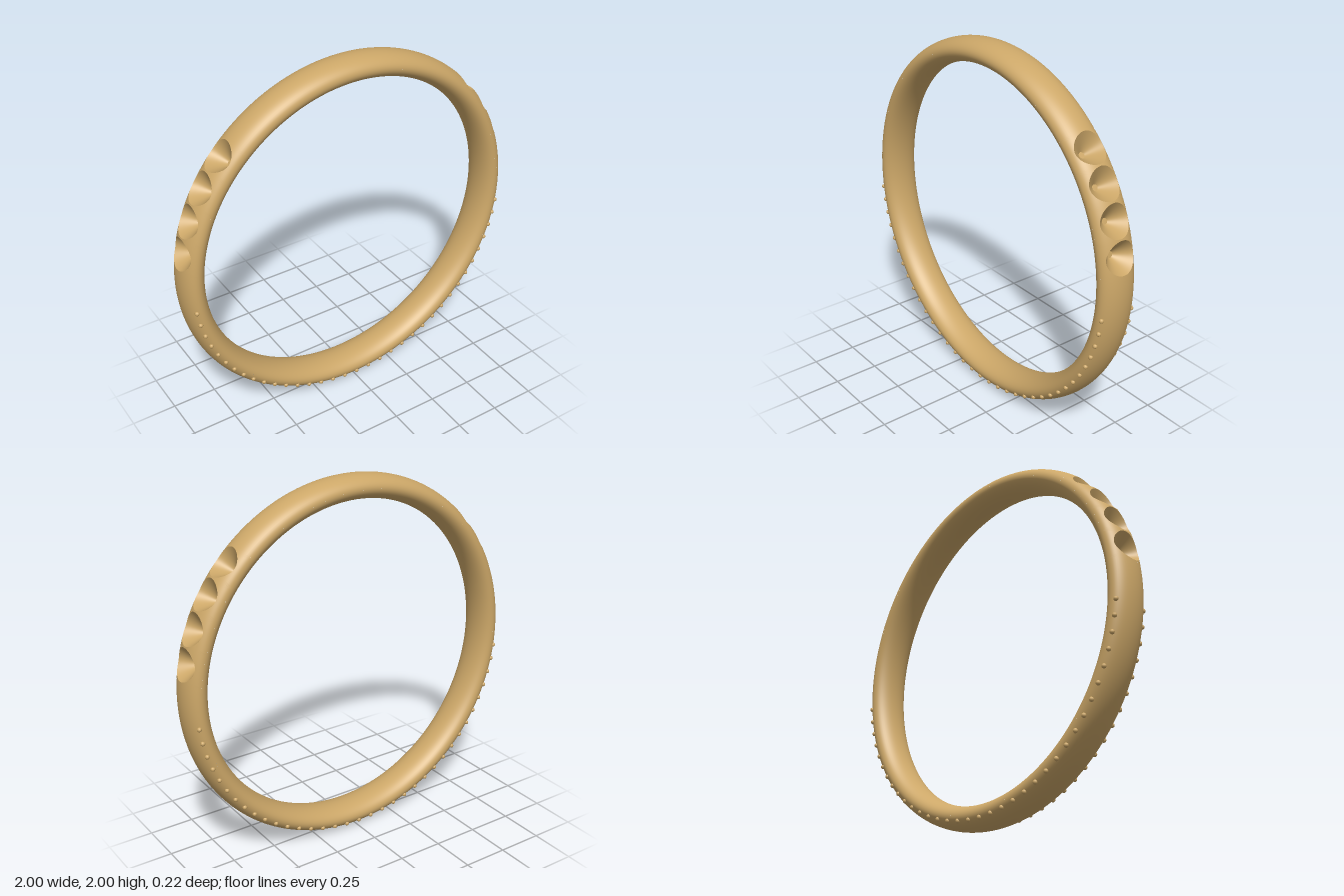
import * as THREE from 'three';
import { mergeGeometries } from 'three/addons/utils/BufferGeometryUtils.js';

const MID = 0.935, HALF_T = 0.065, HALF_W = 0.105; // elliptical band section
const SEAT_R = 0.086, TIP_R = 0.905, FLOOR_R = 0.016; // conical stone seats
const STEP = THREE.MathUtils.degToRad(10.35);
const FIRST = THREE.MathUtils.degToRad(6.4);
const LAST = FIRST + 4 * STEP;
const { PI } = Math;

// Point and normal on the band: theta runs round the ring, phi round its section
const bandPoint = (theta, phi) => {
  const r = MID + HALF_T * Math.cos(phi);
  return new THREE.Vector3(r * Math.cos(theta), r * Math.sin(theta), HALF_W * Math.sin(phi));
};
const bandNormal = (theta, phi) => {
  const n = Math.cos(phi) / HALF_T;
  return new THREE.Vector3(n * Math.cos(theta), n * Math.sin(theta), Math.sin(phi) / HALF_W).normalize();
};

// Grid surface; fn(u, v) gives a point, normalFn is optional
function grid(nu, nv, fn, normalFn) {
  const pos = [], nor = [], index = [];
  for (let i = 0; i <= nu; i++) {
    for (let j = 0; j <= nv; j++) {
      pos.push(...fn(i / nu, j / nv).toArray());
      if (normalFn) nor.push(...normalFn(i / nu, j / nv).toArray());
      if (i < nu && j < nv) {
        const a = i * (nv + 1) + j, b = a + nv + 1;
        index.push(a, b, b + 1, a, b + 1, a + 1);
      }
    }
  }
  const g = new THREE.BufferGeometry();
  g.setAttribute('position', new THREE.Float32BufferAttribute(pos, 3));
  g.setIndex(index);
  if (normalFn) g.setAttribute('normal', new THREE.Float32BufferAttribute(nor, 3));
  else g.computeVertexNormals();
  return g;
}

// Plain stretch of band between two angles
function bandStrip(t0, t1, p0, p1, nu) {
  const at = (f) => (u, v) => f(t0 + (t1 - t0) * u, p0 + (p1 - p0) * v);
  return grid(nu, 24, at(bandPoint), at(bandNormal));
}

// Outer band surface around one round seat
function seatSurround(c) {
  const at = (f) => (u, v) => {
    const a = v * 2 * PI, x = Math.cos(a), y = Math.sin(a);
    const k = 1 / Math.max(Math.abs(x), Math.abs(y));
    const theta = THREE.MathUtils.lerp(Math.asin(SEAT_R * x), (STEP / 2) * k * x, u);
    const phi = THREE.MathUtils.lerp(Math.asin((SEAT_R * y) / HALF_W), (PI / 2) * k * y, u);
    return f(c + theta, phi);
  };
  return grid(10, 64, at(bandPoint), at(bandNormal));
}

// Conical hollow: small flat floor, then walls out to the curved rim
function seatHollow(c) {
  const floorPoint = (a, r) => new THREE.Vector3(TIP_R, r * Math.cos(a), r * Math.sin(a))
    .applyAxisAngle(new THREE.Vector3(0, 0, 1), c);
  const rimPoint = (a) => bandPoint(
    c + Math.asin(SEAT_R * Math.cos(a)), Math.asin((SEAT_R * Math.sin(a)) / HALF_W));
  return [
    grid(1, 64, (u, v) => floorPoint(v * 2 * PI, FLOOR_R * u)),
    grid(4, 64, (u, v) => floorPoint(v * 2 * PI, FLOOR_R).lerp(rimPoint(v * 2 * PI), u)),
  ];
}

export function createModel() {
  const group = new THREE.Group();
  const gold = new THREE.MeshStandardMaterial({ color: 0xcca768 });
  const add = (name, geometries) => {
    const mesh = new THREE.Mesh(mergeGeometries(geometries), gold);
    mesh.name = name;
    mesh.position.y = 1;
    group.add(mesh);
  };

  // Band: inner half all round, outer half above and below the seats
  const band = [
    bandStrip(0, 2 * PI, PI / 2, 1.5 * PI, 256),
    bandStrip(LAST, PI - LAST, -PI / 2, PI / 2, 64),
    bandStrip(PI - FIRST, 2 * PI + FIRST, -PI / 2, PI / 2, 144),
  ];

  // Four seats on each shoulder
  const hollows = [];
  for (let i = 0; i < 4; i++) {
    const c = FIRST + (i + 0.5) * STEP;
    for (const angle of [c, PI - c]) {
      band.push(seatSurround(angle));
      hollows.push(...seatHollow(angle));
    }
  }
  add('band', band);
  add('stoneSeats', hollows);

  // Row of beads along the lower half of both edges
  const beads = [];
  const start = THREE.MathUtils.degToRad(-6.9), count = 35;
  for (let i = 0; i < count; i++) {
    const theta = start - ((PI + 2 * start) * i) / (count - 1);
    for (const side of [1, -1]) {
      const p = bandPoint(theta, side * 1.17);
      beads.push(new THREE.SphereGeometry(0.0125, 12, 8).translate(p.x, p.y, p.z));
    }
  }
  add('edgeBeads', beads);

  return group;
}
